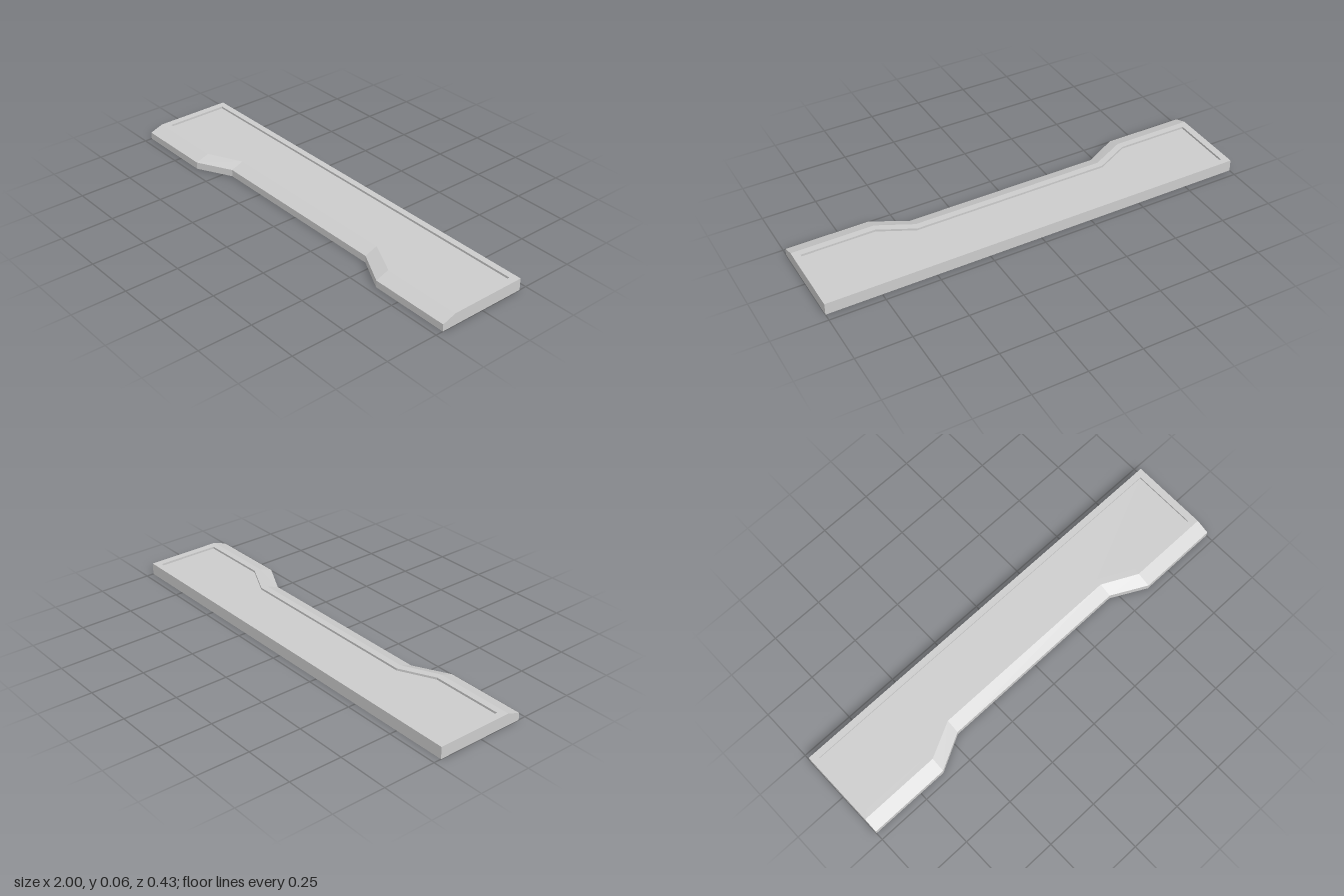
import * as THREE from 'three';

// Plan outline, counter-clockwise from above: notched front edge, then the straight back
function ring(y, halfWidth, frontZ, notchZ, backZ, outerKink, innerKink) {
  return [
    [-halfWidth, frontZ], [-outerKink, frontZ], [-innerKink, notchZ],
    [innerKink, notchZ], [outerKink, frontZ], [halfWidth, frontZ],
    [halfWidth, backZ], [-halfWidth, backZ],
  ].map(([x, z]) => new THREE.Vector3(x, y, z));
}

function facetGeometry(triangles) {
  const geometry = new THREE.BufferGeometry().setFromPoints(triangles);
  geometry.computeVertexNormals();
  return geometry;
}

// Flat-sided walls joining consecutive rings
function loft(rings) {
  const points = [];
  for (let r = 0; r < rings.length - 1; r++) {
    const a = rings[r], b = rings[r + 1];
    for (let i = 0; i < a.length; i++) {
      const j = (i + 1) % a.length;
      points.push(a[i], a[j], b[j], a[i], b[j], b[i]);
    }
  }
  return facetGeometry(points);
}

// Flat face filling a ring
function cap(points, facingDown) {
  const flat = points.map((p) => new THREE.Vector2(p.x, -p.z));
  const corners = [];
  for (const [a, b, c] of THREE.ShapeUtils.triangulateShape(flat, [])) {
    corners.push(...(facingDown ? [a, c, b] : [a, b, c]).map((i) => points[i]));
  }
  return facetGeometry(corners);
}

export function createModel() {
  const group = new THREE.Group();
  group.name = 'notchedSlab';
  const grey = new THREE.MeshStandardMaterial({ color: 0xcccccc });
  grey.name = 'light grey';

  const add = (name, geometry) => {
    const mesh = new THREE.Mesh(geometry, grey);
    mesh.name = name;
    group.add(mesh);
  };

  const base = ring(0, 1, 0.214, 0.13, -0.214, 0.62, 0.46);
  const shoulder = ring(0.033, 1, 0.214, 0.13, -0.214, 0.62, 0.46);
  const top = ring(0.056, 1, 0.15, 0.07, -0.214, 0.62, 0.46);
  const rim = ring(0.056, 0.967, 0.12, 0.04, -0.184, 0.627, 0.467);
  const floor = ring(0.046, 0.967, 0.12, 0.04, -0.184, 0.627, 0.467);

  // Side walls with the sloped front edge
  add('sideWallsAndBevel', loft([base, shoulder, top]));
  // Raised border and the short drop to the panel
  add('raisedRim', loft([top, rim, floor]));
  add('recessedPanel', cap(floor, false));
  add('underside', cap(base, true));

  return group;
}
